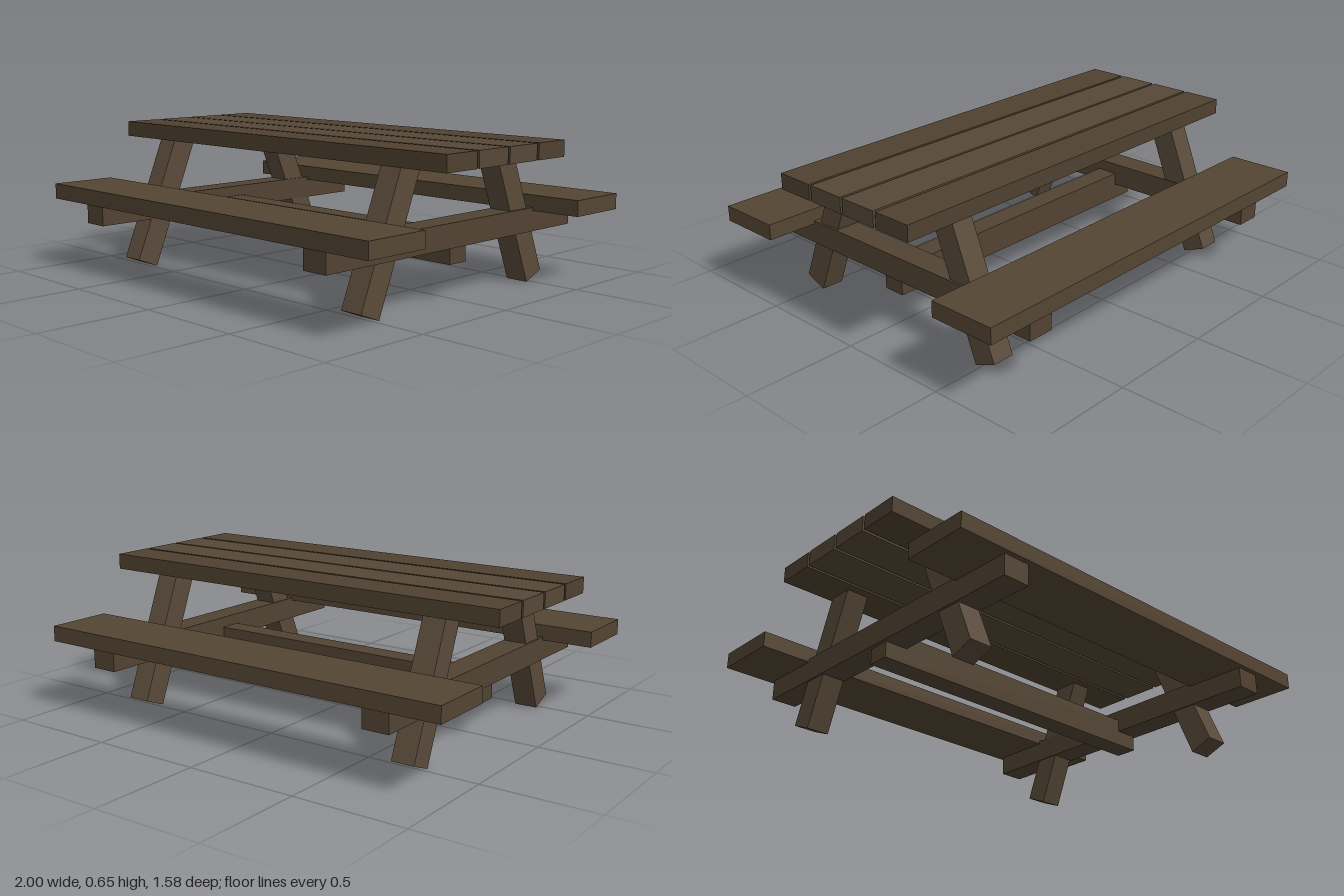
import * as THREE from 'three';

const wood = (color) => new THREE.MeshStandardMaterial({ color, flatShading: true });

export function createModel() {
  const group = new THREE.Group();
  const plankWood = wood(0x4f4130);
  const innerWood = wood(0x554836);
  const seatWood = wood(0x544533);
  const legWood = wood(0x5a4b3a);
  const beamWood = wood(0x524333);

  // Adds a named board of the given size, centred on (x, y, z)
  function board(name, [w, h, d], [x, y, z], material, tilt = 0) {
    const mesh = new THREE.Mesh(new THREE.BoxGeometry(w, h, d), material);
    mesh.name = name;
    mesh.position.set(x, y, z);
    mesh.rotation.x = tilt;
    group.add(mesh);
  }

  const lean = THREE.MathUtils.degToRad(22);
  const legLength = 0.636;

  for (const side of [1, -1]) {
    const end = side > 0 ? 'front' : 'back';

    // Table top: two planks on each side of the middle
    board(end + 'InnerTopPlank', [2, 0.07, 0.18], [0, 0.615, side * 0.096], innerWood);
    board(end + 'OuterTopPlank', [2, 0.07, 0.178], [0, 0.615, side * 0.288], plankWood);

    // Bench seat
    board(end + 'Seat', [2, 0.07, 0.3], [0, 0.35, side * 0.642], seatWood);

    // Splayed legs, their upper ends set into the outer top plank
    for (const x of [-0.708, 0.708]) {
      const z = 0.526 - Math.sin(lean) * legLength / 2;
      const y = 0.02 + Math.cos(lean) * legLength / 2;
      board(end + (x > 0 ? 'Left' : 'Right') + 'Leg', [0.105, legLength, 0.108],
        [x, y, side * z], legWood, -side * lean);
    }
  }

  // Cross beams carrying the seats
  for (const x of [-0.71, 0.71]) {
    board(x > 0 ? 'leftCrossBeam' : 'rightCrossBeam', [0.12, 0.105, 1.54], [x, 0.2765, 0], beamWood);
  }

  // Long stretcher joining the cross beams
  board('stretcher', [1.51, 0.128, 0.1], [0, 0.217, 0], beamWood);

  return group;
}
